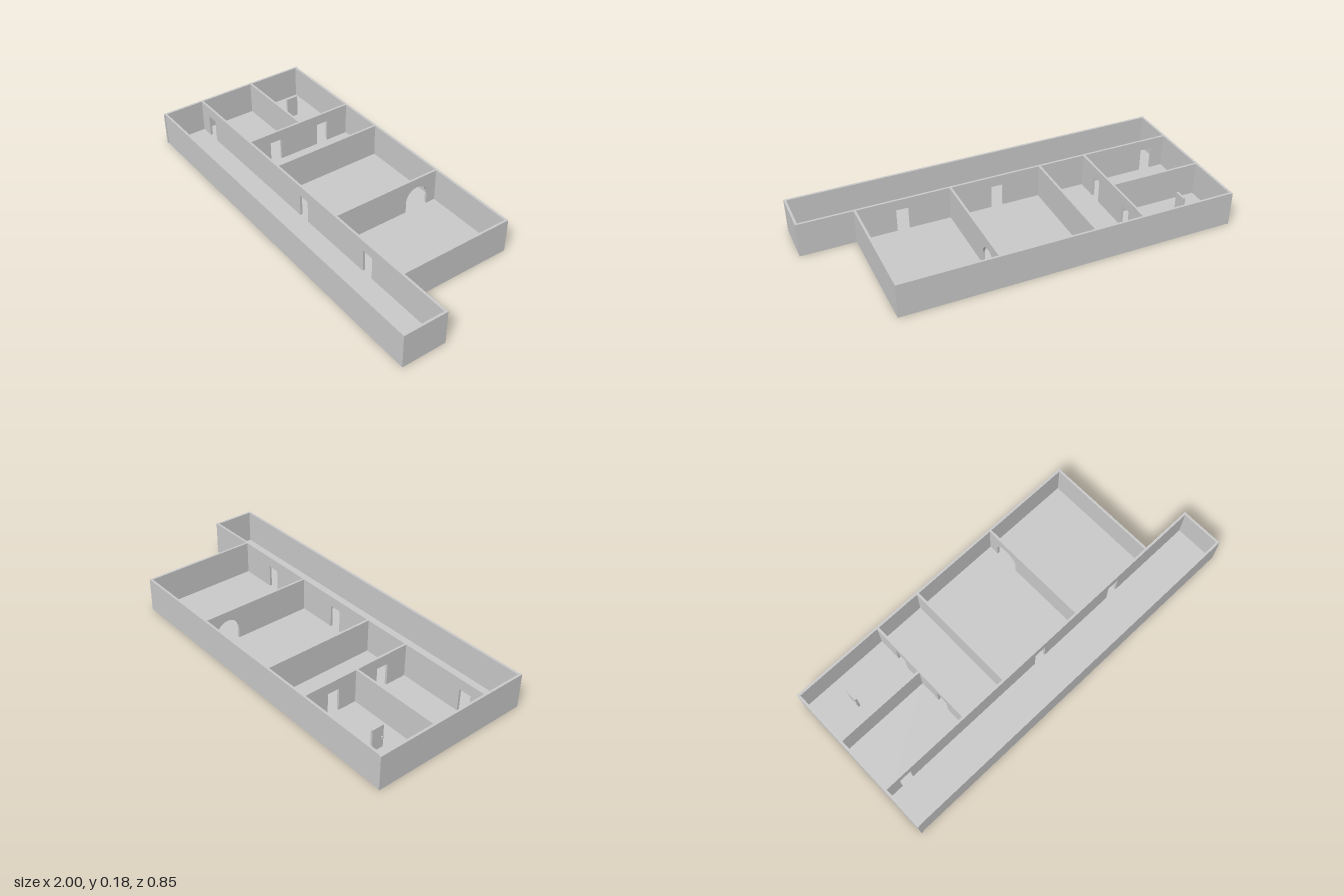
import * as THREE from 'three';

const HEIGHT = 0.18, THICK = 0.012, FLOOR = 0.005, DOOR_H = 0.125;

export function createModel() {
  const model = new THREE.Group();
  model.name = 'floorPlan';
  const material = new THREE.MeshStandardMaterial({ color: 0xcccccc, flatShading: true });

  const add = (name, geometry, x = 0, y = 0, z = 0) => {
    const mesh = new THREE.Mesh(geometry, material);
    mesh.name = name;
    mesh.position.set(x, y, z);
    model.add(mesh);
  };

  // Wall running from a to b along an axis; openings are notches reaching the floor
  const wall = (name, axis, a, b, at, openings = []) => {
    const shape = new THREE.Shape();
    shape.moveTo(a, 0);
    for (const { c, w, arch } of openings) {
      const l = c - w / 2, r = c + w / 2;
      shape.lineTo(l, 0);
      if (arch) {
        shape.lineTo(l, DOOR_H + 0.005 - w / 2);
        shape.absarc(c, DOOR_H + 0.005 - w / 2, w / 2, Math.PI, 0, true);
      } else {
        shape.lineTo(l, DOOR_H);
        shape.lineTo(r, DOOR_H);
      }
      shape.lineTo(r, 0);
    }
    shape.lineTo(b, 0);
    shape.lineTo(b, HEIGHT);
    shape.lineTo(a, HEIGHT);
    shape.closePath();
    const geometry = new THREE.ExtrudeGeometry(shape, { depth: THICK, bevelEnabled: false, curveSegments: 16 });
    geometry.translate(0, 0, -THICK / 2);
    if (axis === 'z') geometry.rotateY(-Math.PI / 2);
    add(name, geometry, axis === 'z' ? at : 0, 0, axis === 'x' ? at : 0);
  };
  const door = (c) => ({ c, w: 0.065 });

  // Outer walls
  wall('leftEndWall', 'z', -0.423, 0.423, -0.994);
  wall('backWall', 'x', -0.994, 0.72, -0.414);
  wall('mainSideWall', 'z', -0.42, 0.194, 0.714);
  wall('hallFrontWall', 'x', -0.994, 1, 0.414);
  wall('hallEndWall', 'z', 0.188, 0.42, 0.994);

  // Wall between the hall and the rooms, with three doorways
  wall('hallBackWall', 'x', -0.994, 1, 0.194, [door(-0.885), door(-0.02), door(0.48)]);

  // Partitions between rooms
  wall('smallRoomsWall', 'z', -0.414, 0.194, -0.51, [door(-0.25), door(0.042)]);
  wall('smallRoomDivider', 'x', -0.994, -0.51, -0.114);
  wall('passageWall', 'z', -0.414, 0.194, -0.255);
  wall('archedWall', 'z', -0.414, 0.194, 0.229, [{ c: -0.29, w: 0.13, arch: true }]);

  // Floor slabs
  const floor = (name, x0, x1, z0, z1) =>
    add(name, new THREE.BoxGeometry(x1 - x0, FLOOR, z1 - z0), (x0 + x1) / 2, FLOOR / 2, (z0 + z1) / 2);
  floor('hallFloor', -0.999, 0.999, 0.194, 0.419);
  floor('backSmallRoomFloor', -0.999, -0.51, -0.419, -0.114);
  floor('frontSmallRoomFloor', -0.999, -0.51, -0.114, 0.194);
  floor('passageFloor', -0.51, -0.255, -0.419, 0.194);
  floor('middleRoomFloor', -0.255, 0.229, -0.419, 0.194);
  floor('rightRoomFloor', 0.229, 0.719, -0.419, 0.194);

  // Free-standing door leaf with a small knob
  add('doorLeaf', new THREE.BoxGeometry(0.011, DOOR_H, 0.064), -0.812, DOOR_H / 2, -0.264);
  add('doorKnob', new THREE.BoxGeometry(0.006, 0.008, 0.012), -0.82, 0.06, -0.24);

  return model;
}
